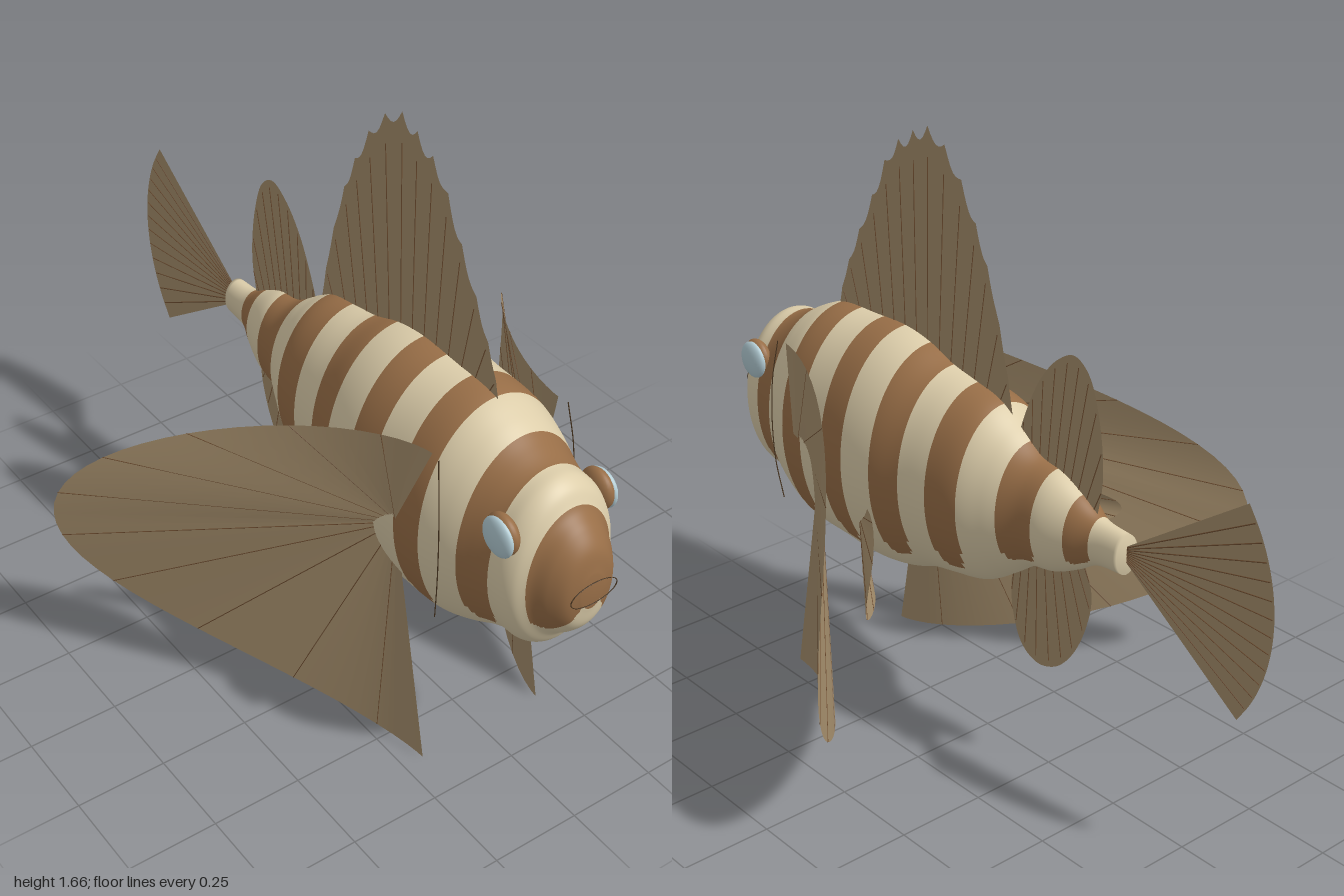
import * as THREE from 'three';

const mat = (name, color, side = THREE.FrontSide) => {
  const m = new THREE.MeshStandardMaterial({ color, side });
  m.name = name;
  return m;
};
const V = (x, y, z = 0) => new THREE.Vector3(x, y, z);
const MID = 0.745; // height of the body axis

export function createModel() {
  const cream = mat('cream', 0xdccdaa);
  const brown = mat('stripe brown', 0x986e47);
  const finTan = mat('fin tan', 0xa58e6c, THREE.DoubleSide);
  const rayBrown = mat('ray brown', 0x6e4d30);
  const dark = mat('line dark brown', 0x46331f);
  const blue = mat('eye pale blue', 0xb3ccd4);
  const fish = new THREE.Group();

  const add = (parent, name, geometry, material) => {
    const mesh = new THREE.Mesh(geometry, material);
    mesh.name = name;
    parent.add(mesh);
    return mesh;
  };
  // Thin fin ray between two points
  const ray = (parent, name, from, to, r) =>
    add(parent, name, new THREE.TubeGeometry(new THREE.LineCurve3(from, to), 1, r, 4), rayBrown);

  // Strip of fin membrane between two equally long rows of points
  const membrane = (parent, name, inner, outer) => {
    const pos = [], index = [];
    inner.forEach((p, i) => {
      pos.push(...p.toArray(), ...outer[i].toArray());
      const a = 2 * i;
      if (i) index.push(a - 2, a - 1, a + 1, a - 2, a + 1, a);
    });
    const g = new THREE.BufferGeometry();
    g.setAttribute('position', new THREE.Float32BufferAttribute(pos, 3));
    g.setIndex(index);
    g.computeVertexNormals();
    return add(parent, name, g, finTan);
  };

  // Body: elliptical rings along x, striped, with a pale belly
  const profile = new THREE.CatmullRomCurve3([
    [-0.52, 0.055], [-0.43, 0.065], [-0.36, 0.105], [-0.29, 0.138], [-0.21, 0.155], [-0.13, 0.208],
    [-0.05, 0.258], [0.05, 0.28], [0.14, 0.298], [0.23, 0.33], [0.33, 0.346], [0.46, 0.342],
    [0.6, 0.334], [0.68, 0.305], [0.75, 0.268], [0.8, 0.25], [0.85, 0.245], [0.88, 0.226],
    [0.91, 0.18], [0.945, 0.15], [0.975, 0.11], [0.99, 0.05],
  ].map(([x, h]) => V(x, h)));
  const stripes = [[-0.43, -0.36], [-0.27, -0.165], [-0.06, 0.035], [0.135, 0.23], [0.33, 0.425],
    [0.525, 0.615], [0.72, 0.81], [0.9, 1]];
  const RINGS = 180, SEG = 112;
  const pos = [], faces = [[], []];
  for (let i = 0; i <= RINGS; i++) {
    const p = profile.getPoint(i / RINGS);
    for (let j = 0; j < SEG; j++) {
      const a = (j / SEG) * Math.PI * 2;
      pos.push(p.x, MID + p.y * Math.cos(a), p.y * 0.665 * Math.sin(a));
    }
  }
  for (let i = 0; i < RINGS; i++) {
    const x = profile.getPoint((i + 0.5) / RINGS).x;
    const stripe = stripes.find(([a, b]) => x > a && x < b);
    for (let j = 0; j < SEG; j++) {
      const up = Math.cos(((j + 0.5) / SEG) * Math.PI * 2);
      // Stripes end in a rounded tip above the belly
      const u = stripe ? (2 * (x - stripe[0])) / (stripe[1] - stripe[0]) - 1 : 0;
      const k = stripe && up > -0.76 + 0.25 * u ** 4 ? 1 : 0;
      const a = i * SEG + j, b = i * SEG + ((j + 1) % SEG), c = a + SEG, d = b + SEG;
      faces[k].push(a, b, d, a, d, c);
    }
  }
  // Close the tail stump and the snout
  const tail = pos.length / 3;
  pos.push(-0.52, MID, 0, 0.995, MID, 0);
  for (let j = 0; j < SEG; j++) {
    const n = (j + 1) % SEG, last = RINGS * SEG;
    faces[0].push(tail, n, j);
    faces[1].push(tail + 1, last + j, last + n);
  }
  const bodyGeo = new THREE.BufferGeometry();
  bodyGeo.setAttribute('position', new THREE.Float32BufferAttribute(pos, 3));
  bodyGeo.setIndex([...faces[0], ...faces[1]]);
  bodyGeo.addGroup(0, faces[0].length, 0);
  bodyGeo.addGroup(faces[0].length, faces[1].length, 1);
  bodyGeo.computeVertexNormals();
  add(fish, 'body', bodyGeo, [cream, brown]);

  // Upright fins on the centre line: curved edge, straight hidden base, rays between
  const medianFin = (name, edgePts, baseA, baseB, rays, rayReach, notch = 0) => {
    const group = new THREE.Group();
    group.name = name;
    const N = rays * 6;
    const curve = new THREE.CatmullRomCurve3(edgePts.map(([x, y]) => V(x, y)));
    const outer = curve.getPoints(N).map((p, i) => {
      const fade = Math.sin((Math.PI * i) / N);
      p.y -= notch * fade * Math.abs(Math.sin((i / N) * Math.PI * rays));
      return p;
    });
    const a = V(...baseA), b = V(...baseB);
    const inner = outer.map((_, i) => a.clone().lerp(b, i / N));
    membrane(group, name + 'Membrane', inner, outer);
    for (let i = 6; i < N; i += 6) {
      ray(group, name + 'Ray', inner[i], inner[i].clone().lerp(outer[i], rayReach), 0.0016);
    }
    fish.add(group);
  };
  medianFin('dorsalFin', [[-0.1, 0.96], [-0.07, 1.11], [-0.01, 1.32], [0.05, 1.46], [0.13, 1.59], [0.22, 1.66],
    [0.3, 1.63], [0.38, 1.57], [0.46, 1.43], [0.54, 1.28], [0.6, 1.15], [0.63, 1.04]],
    [-0.07, 0.94], [0.6, 1.02], 15, 0.88, 0.035);
  medianFin('secondDorsalFin', [[-0.41, 0.79], [-0.43, 0.92], [-0.41, 1.08], [-0.37, 1.18], [-0.32, 1.21],
    [-0.26, 1.18], [-0.2, 1.11], [-0.15, 1.01], [-0.11, 0.9]], [-0.4, 0.76], [-0.12, 0.8], 11, 0.95);
  medianFin('analFin', [[-0.36, 0.68], [-0.4, 0.58], [-0.38, 0.47], [-0.33, 0.37], [-0.27, 0.31],
    [-0.2, 0.29], [-0.14, 0.32], [-0.1, 0.42], [-0.1, 0.58]], [-0.36, 0.72], [-0.1, 0.66], 11, 0.95);

  // Tail fan
  const spread = 0.64;
  const arc = [];
  for (let i = 0; i <= 8; i++) {
    const a = spread * (1 - i / 4);
    arc.push([-0.515 - 0.485 * Math.cos(a), MID + 0.485 * Math.sin(a)]);
  }
  medianFin('tailFin', arc, [-0.515, MID + 0.02], [-0.515, MID - 0.02], 13, 0.99);

  // Wing-like side fins: fan from a short root out to a bowed edge
  const sideFin = (parent, name, hubTop, hubBottom, root, reach, top, bottom, rays) => {
    const N = rays * 4;
    const inner = [], outer = [];
    for (let i = 0; i <= N; i++) {
      const a = (Math.PI * i) / N, s = Math.sin(a);
      inner.push(hubTop.clone().lerp(hubBottom, Math.min(1, (2 * i) / N)));
      outer.push(V(root[0] - reach[0] * s ** 1.4, (top + bottom) / 2 + ((top - bottom) / 2) * Math.cos(a),
        root[1] + reach[1] * s ** 2.1));
    }
    membrane(parent, name, inner, outer);
    for (let i = 4; i < N; i += 4) ray(parent, name + 'Ray', inner[i], outer[i], 0.0014);
  };

  // Paired parts, once per flank
  for (const side of [1, -1]) {
    const flank = new THREE.Group();
    flank.name = side > 0 ? 'frontFlank' : 'backFlank';
    sideFin(flank, 'pectoralFin', V(0.54, 0.77, 0.234), V(0.485, 0.7, 0.189), [0.62, 0.19], [0.87, 0.56], 1, 0, 11);
    sideFin(flank, 'pelvicFin', V(0.31, 0.6, 0.19), V(0.31, 0.58, 0.19), [0.29, 0.2], [0.34, 0.25], 0.65, 0.43, 7);

    // Eye: brown socket with a pale domed lens
    const socket = add(flank, 'eyeSocket', new THREE.SphereGeometry(1, 28, 18), brown);
    socket.position.set(0.828, 0.879, 0.143);
    socket.scale.set(0.054, 0.055, 0.028);
    const lens = add(flank, 'eyeLens', new THREE.SphereGeometry(1, 28, 18), blue);
    lens.position.set(0.829, 0.876, 0.157);
    lens.scale.set(0.053, 0.053, 0.019);

    // Gill slit
    const gill = new THREE.CatmullRomCurve3([V(0.65, 1, 0.195), V(0.67, 0.88, 0.205), V(0.677, 0.75, 0.208),
      V(0.672, 0.63, 0.205), V(0.655, 0.52, 0.195)]);
    add(flank, 'gillSlit', new THREE.TubeGeometry(gill, 24, 0.0018, 4), dark);

    fish.add(flank);
    if (side < 0) mirrorZ(flank);
  }

  // Mouth rim
  const mouth = add(fish, 'mouth', new THREE.TorusGeometry(0.07, 0.0014, 6, 40), dark);
  mouth.rotation.y = Math.PI / 2;
  mouth.scale.y = 0.46;
  mouth.position.set(0.995, 0.745, 0);

  return fish;
}

// Reflect every mesh of a group across z = 0, keeping faces outward
function mirrorZ(group) {
  group.children.forEach((mesh) => {
    mesh.position.z *= -1;
    const g = mesh.geometry;
    g.scale(1, 1, -1);
    const ix = g.index.array;
    for (let i = 0; i < ix.length; i += 3) [ix[i], ix[i + 1]] = [ix[i + 1], ix[i]];
    g.computeVertexNormals();
  });
}
